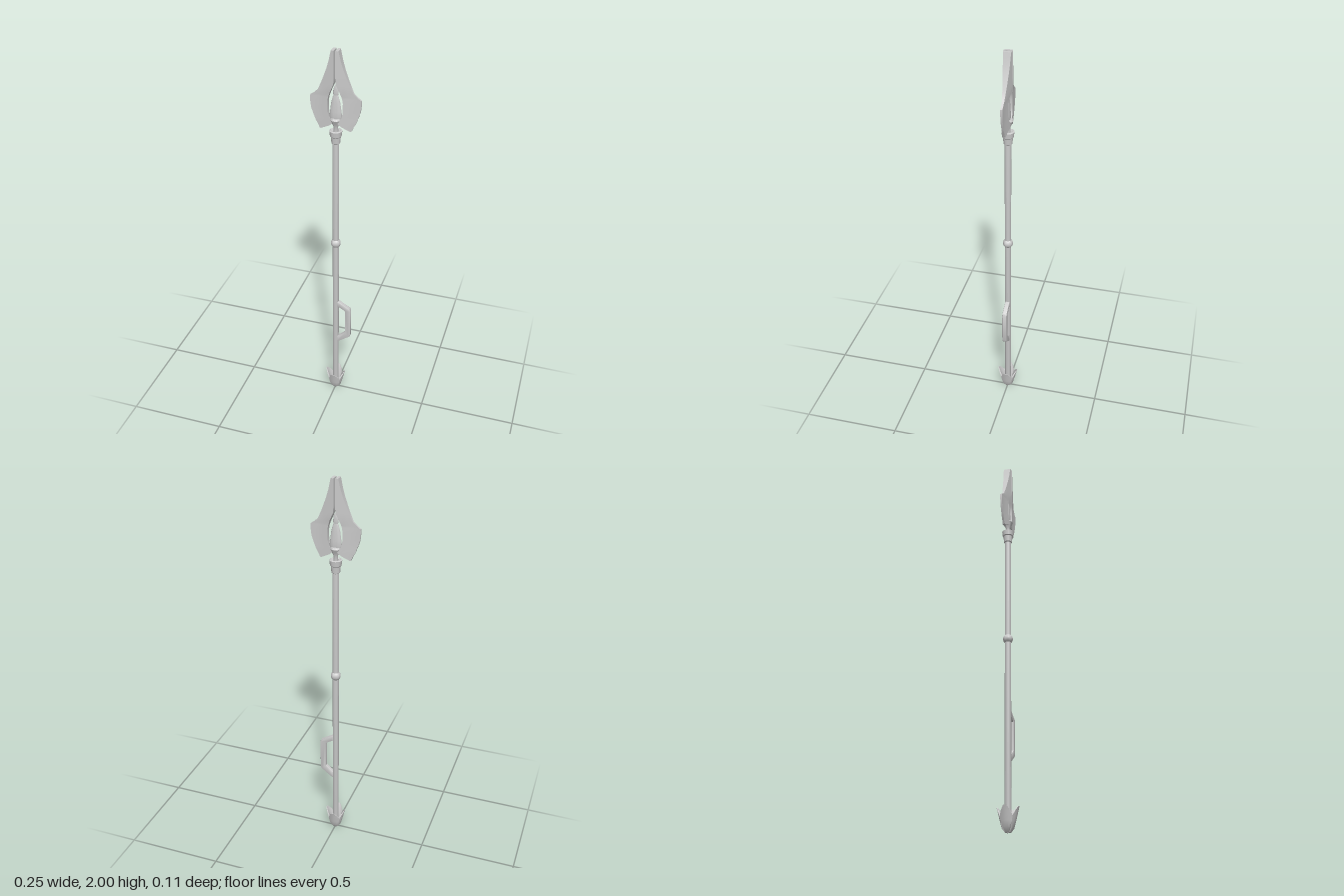
import * as THREE from 'three';
import { toCreasedNormals } from 'three/addons/utils/BufferGeometryUtils.js';

const material = new THREE.MeshStandardMaterial({ color: 0xcccccc, side: THREE.DoubleSide });

function addPart(parent, name, geometry, crease = 0.6) {
  const mesh = new THREE.Mesh(toCreasedNormals(geometry, crease), material);
  mesh.name = name;
  parent.add(mesh);
  return mesh;
}

const lathe = (points, sides = 20) =>
  new THREE.LatheGeometry(points.map(([r, y]) => new THREE.Vector2(r, y)), sides);

// Skins a stack of equal-length closed sections, bottom to top, and caps both ends
function loft(rings) {
  const n = rings[0].length, last = (rings.length - 1) * n, index = [];
  for (let r = 0; r < rings.length - 1; r++) {
    for (let i = 0; i < n; i++) {
      const a = r * n + i, b = r * n + (i + 1) % n;
      index.push(a, b, b + n, a, b + n, a + n);
    }
  }
  for (let i = 1; i < n - 1; i++) {
    index.push(0, i + 1, i, last, last + i, last + i + 1);
  }
  const geometry = new THREE.BufferGeometry();
  geometry.setAttribute('position', new THREE.Float32BufferAttribute(rings.flat(2), 3));
  geometry.setIndex(index);
  return geometry;
}

// One half of the spearhead: thick along the inner edge, thin at the outer edge
function bladeGeometry() {
  const rows = [ // y, inner x, outer x
    [1.61, 0.07, 0.077], [1.63, 0.03, 0.086], [1.645, 0.012, 0.095], [1.66, 0.02, 0.101],
    [1.68, 0.033, 0.109], [1.71, 0.037, 0.119], [1.75, 0.037, 0.124], [1.77, 0.034, 0.123],
    [1.78, 0.031, 0.108], [1.80, 0.024, 0.086], [1.84, 0.006, 0.068], [1.87, 0.004, 0.056],
    [1.91, 0.004, 0.041], [1.95, 0.004, 0.029], [2.0, 0.004, 0.018],
  ];
  return loft(rows.map(([y, a, b]) => {
    const scale = y < 1.8 ? 0.8 : 1;
    const depth = (x) => Math.max(0.005, (0.022 - 0.19 * x) * scale);
    const xs = [b, a + (b - a) * 0.65, a + (b - a) * 0.3, a];
    const back = xs.map((x) => [x, y, -depth(x)]);
    const front = xs.map((x) => [x, y, depth(x)]).reverse();
    return [...back, ...front];
  }));
}

// A curved leaf that flares outward from the foot
function petalGeometry() {
  const rows = [ // y, distance from axis, half width, thickness
    [0, 0.014, 0.008, 0.01], [0.02, 0.029, 0.017, 0.014], [0.05, 0.037, 0.028, 0.014],
    [0.07, 0.042, 0.03, 0.011], [0.095, 0.048, 0.022, 0.007], [0.118, 0.054, 0.007, 0.003],
  ];
  const steps = [-1, -0.5, 0, 0.5, 1];
  return loft(rows.map(([y, r, w, t]) => {
    const arc = (radius) => steps.map((s) => [radius - 12 * (s * w) ** 2, y, -s * w]);
    return [...arc(r), ...arc(r - t).reverse()];
  }));
}

// Angular side grip, bevelled
function gripGeometry() {
  const outline = [
    [0.008, 0.605], [0.02, 0.602], [0.078, 0.568], [0.084, 0.555], [0.084, 0.392],
    [0.078, 0.38], [0.02, 0.337], [0.008, 0.333], [0.008, 0.37], [0.02, 0.375],
    [0.053, 0.405], [0.053, 0.55], [0.02, 0.57], [0.008, 0.572],
  ];
  const shape = new THREE.Shape(outline.map(([x, y]) => new THREE.Vector2(x, y)));
  const geometry = new THREE.ExtrudeGeometry(shape, {
    depth: 0.014, bevelEnabled: true, bevelThickness: 0.005, bevelSize: 0.005,
    bevelOffset: -0.005, bevelSegments: 2,
  });
  return geometry.translate(0, 0, -0.007);
}

export function createModel() {
  const model = new THREE.Group();
  model.name = 'spear';

  // Shaft, middle ring and collar
  addPart(model, 'shaft', lathe([
    [0, 0.005], [0.01, 0.005], [0.016, 0.03], [0.016, 1.55], [0, 1.55],
  ]));
  addPart(model, 'middleRing', lathe([
    [0.016, 0.953], [0.022, 0.96], [0.025, 0.968], [0.025, 0.978], [0.022, 0.986], [0.016, 0.993],
  ]));
  addPart(model, 'collar', lathe([
    [0.015, 1.535], [0.021, 1.54], [0.024, 1.573], [0.028, 1.577], [0.031, 1.603],
    [0.024, 1.606], [0.014, 1.6], [0, 1.6],
  ]));

  // Neck and cup that carry the head
  addPart(model, 'cup', lathe([
    [0, 1.595], [0.012, 1.595], [0.011, 1.625], [0.02, 1.645], [0.026, 1.66], [0.021, 1.668], [0, 1.668],
  ]));

  // Flattened core between the blades
  const core = addPart(model, 'core', lathe([
    [0, 1.655], [0.026, 1.66], [0.031, 1.675], [0.028, 1.7], [0.022, 1.745], [0.014, 1.775],
    [0.011, 1.782], [0.013, 1.79], [0.012, 1.81], [0.006, 1.828], [0, 1.835],
  ]));
  core.scale.z = 0.4;

  // Paired blades
  ['leftBlade', 'rightBlade'].forEach((name, i) => {
    addPart(model, name, bladeGeometry()).rotation.y = i * Math.PI;
  });

  addPart(model, 'sideGrip', gripGeometry());

  // Four leaves around the foot
  const foot = new THREE.Group();
  foot.name = 'foot';
  for (let i = 0; i < 4; i++) {
    addPart(foot, 'footLeaf', petalGeometry()).rotation.y = i * Math.PI / 2;
  }
  model.add(foot);

  return model;
}
